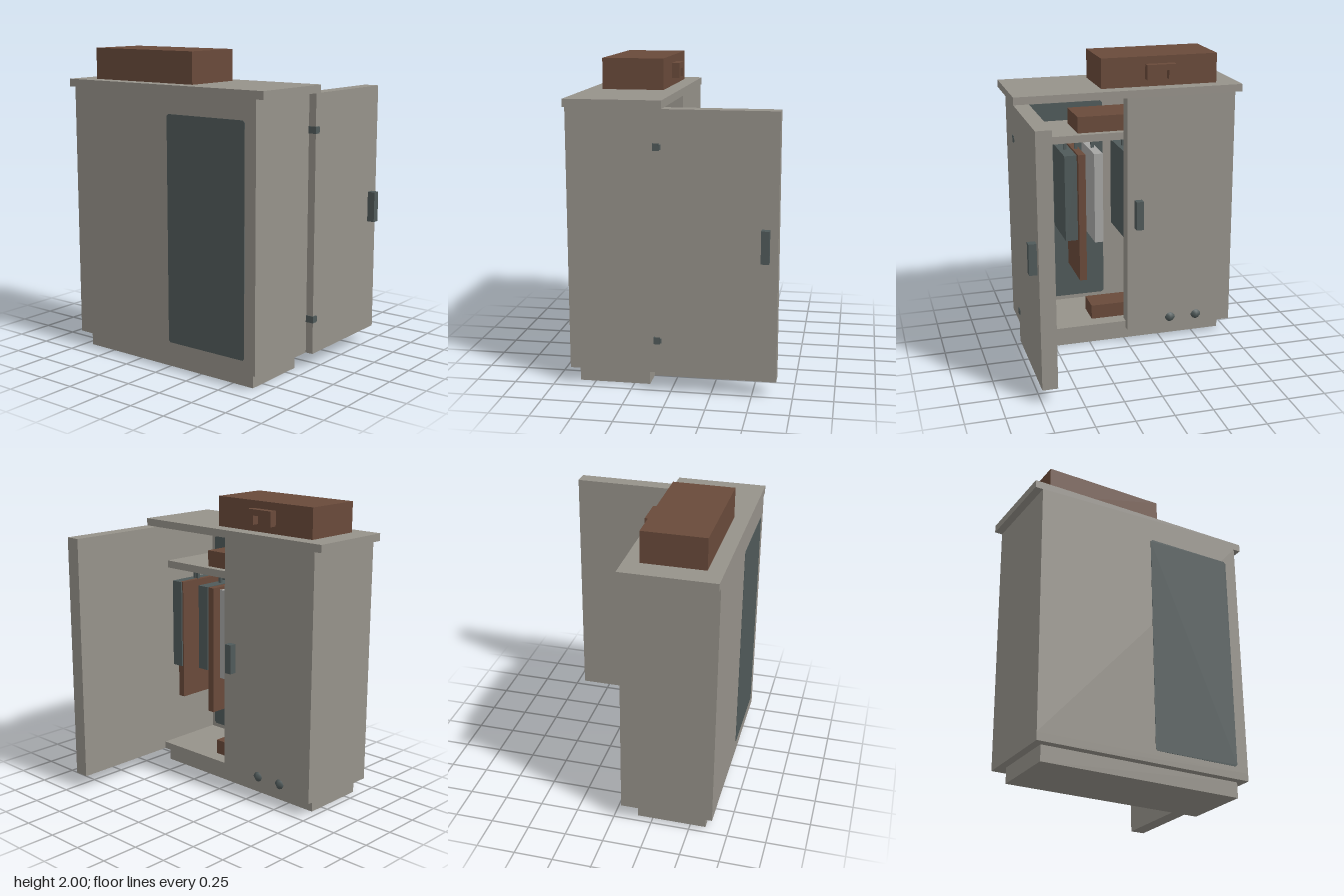
import * as THREE from 'three';

const mat = (name, color) => {
  const m = new THREE.MeshStandardMaterial({ color });
  m.name = name;
  return m;
};

export function createModel() {
  const wood = mat('greyWood', 0x96928a);
  const slate = mat('darkSlate', 0x505a5a);
  const leather = mat('brown', 0x694a3a);
  const linen = mat('lightGrey', 0xa6a6a4);
  const model = new THREE.Group();
  model.name = 'wardrobe';

  // Box given by its minimum and maximum along each axis
  const box = (name, m, [x0, x1], [y0, y1], [z0, z1], parent = model) => {
    const mesh = new THREE.Mesh(new THREE.BoxGeometry(x1 - x0, y1 - y0, z1 - z0), m);
    mesh.position.set((x0 + x1) / 2, (y0 + y1) / 2, (z0 + z1) / 2);
    mesh.name = name;
    parent.add(mesh);
    return mesh;
  };

  // Carcass, open towards -z
  box('plinth', wood, [-0.7, 0.65], [0, 0.1], [0.15, 0.6]);
  box('floor', wood, [-0.75, 0.7], [0.1, 0.15], [0.1, 0.65]);
  box('backPanel', wood, [-0.75, 0.7], [0.15, 1.75], [0.6, 0.65]);
  box('rightWall', wood, [-0.75, -0.7], [0.15, 1.75], [0.15, 0.6]);
  box('leftWall', wood, [0.65, 0.7], [0.15, 1.75], [0.1, 0.6]);
  box('topBoard', wood, [-0.8, 0.75], [1.75, 1.8], [0.05, 0.65]);
  box('shelf', wood, [-0.7, 0.65], [1.45, 1.5], [0.15, 0.6]);

  // One closed and one open door, with handles and hinges
  box('closedDoor', wood, [-0.75, 0], [0.1, 1.75], [0.05, 0.15]);
  box('closedDoorHandle', slate, [-0.1, -0.05], [0.85, 1.05], [0, 0.05]);
  box('openDoor', wood, [0.65, 0.75], [0.1, 1.75], [-0.65, 0.1]);
  box('openDoorHandle', slate, [0.75, 0.8], [0.85, 1.05], [-0.6, -0.55]);
  for (const y of [0.325, 1.525]) {
    box('hinge', slate, [0.7, 0.754], [y - 0.022, y + 0.022], [0.065, 0.105]);
    const pin = new THREE.Mesh(new THREE.CylinderGeometry(0.014, 0.014, 0.03, 8), slate);
    pin.position.set(0.742, y, 0.066);
    pin.name = 'hingePin';
    model.add(pin);
  }

  // Mirror set through the back panel, with clipped corners
  const [x0, x1, y0, y1, c] = [0.03, 0.62, 0.18, 1.625, 0.013];
  const outline = new THREE.Shape([
    [x0 + c, y0], [x1 - c, y0], [x1, y0 + c], [x1, y1 - c],
    [x1 - c, y1], [x0 + c, y1], [x0, y1 - c], [x0, y0 + c],
  ].map(([x, y]) => new THREE.Vector2(x, y)));
  const mirror = new THREE.Mesh(
    new THREE.ExtrudeGeometry(outline, { depth: 0.057, bevelEnabled: false }), slate);
  mirror.position.z = 0.595;
  mirror.name = 'mirror';
  model.add(mirror);

  // Suitcase with an arched handle
  const suitcase = new THREE.Group();
  suitcase.name = 'suitcase';
  model.add(suitcase);
  box('case', leather, [-0.65, 0.15], [1.8, 2], [0.15, 0.55], suitcase);
  box('caseHandleBar', leather, [-0.35, -0.15], [1.91, 1.95], [0.1, 0.15], suitcase);
  for (const x of [-0.35, -0.2])
    box('caseHandleLeg', leather, [x, x + 0.05], [1.85, 1.91], [0.1, 0.15], suitcase);

  // Boxes stored on the shelf and the floor
  box('shelfBox', leather, [-0.2, 0.3], [1.5, 1.61], [0.2, 0.5]);
  box('floorBox', leather, [-0.1, 0.22], [0.15, 0.25], [0.2, 0.38]);

  // Clothes rail
  const rail = new THREE.Mesh(new THREE.CylinderGeometry(0.015, 0.015, 1.35, 10), slate);
  rail.rotation.z = Math.PI / 2;
  rail.position.set(-0.025, 1.41, 0.375);
  rail.name = 'rail';
  model.add(rail);

  // Hanging clothes: left edge, right edge, hem, front depth, colour
  const clothes = [
    [0.56, 0.645, 0.73, 0.19, slate], [0.55, 0.6, 0.5, 0.2, leather],
    [0.31, 0.395, 0.75, 0.2, slate], [0.25, 0.3, 0.45, 0.2, leather],
    [0.13, 0.19, 0.72, 0.2, linen], [-0.1, -0.02, 0.73, 0.2, slate],
    [-0.3, -0.24, 0.48, 0.2, leather], [-0.5, -0.42, 0.72, 0.2, linen],
  ];
  for (const [a, b, hem, z, m] of clothes) {
    box('garment', m, [a, b], [hem, 1.35], [z, 0.56]);
    const mid = (a + b) / 2;
    box('hangerHook', slate, [mid - 0.01, mid + 0.01], [1.35, 1.43], [0.365, 0.385]);
  }

  // Pair of shoes, toes just through the closed door
  for (const x of [-0.31, -0.5]) {
    const shoe = new THREE.Mesh(new THREE.SphereGeometry(1, 12, 8), slate);
    shoe.scale.set(0.07, 0.07, 0.16);
    shoe.position.set(x, 0.165, 0.185);
    shoe.name = 'shoe';
    model.add(shoe);
  }
  return model;
}
